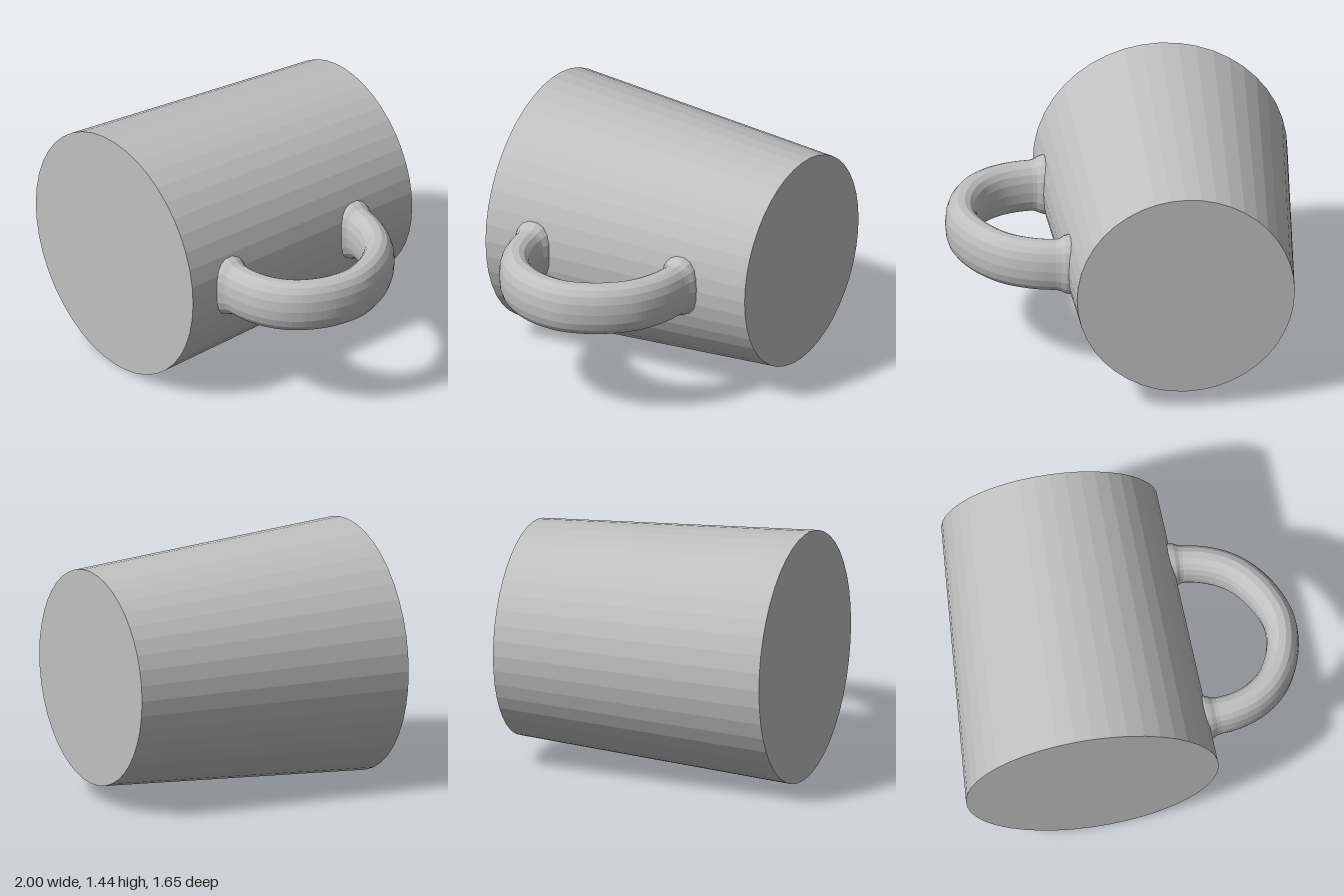
import * as THREE from 'three';

const AXIS_X = -0.28, AXIS_Y = 0.722;
const FRONT_R = 0.722, BACK_R = 0.617, HALF_LENGTH = 0.825;

// Radius of the tapered body at a given z
const bodyRadius = (z) => THREE.MathUtils.mapLinear(z, -HALF_LENGTH, HALF_LENGTH, BACK_R, FRONT_R);

// Sweep a flattened oval along the handle path, flaring where it meets the body
function handleGeometry() {
  const path = new THREE.CatmullRomCurve3([
    [0.3, -0.402], [0.42, -0.402], [0.56, -0.372], [0.7, -0.3], [0.82, -0.17],
    [0.894, -0.02], [0.91, 0.08], [0.887, 0.235], [0.81, 0.38], [0.7, 0.47],
    [0.58, 0.515], [0.46, 0.53], [0.34, 0.535],
  ].map(([x, z]) => new THREE.Vector3(x, 0.725, z)));
  const rings = 72, sides = 18, positions = [], index = [];
  const round = (v) => Math.sign(v) * Math.abs(v) ** 0.87;

  for (let i = 0; i <= rings; i++) {
    const p = path.getPointAt(i / rings), t = path.getTangentAt(i / rings);
    const gap = Math.max(0, p.x - (AXIS_X + bodyRadius(p.z)));
    const flare = 0.025 * Math.max(0, 1 - gap / 0.06) ** 2;
    for (let j = 0; j < sides; j++) {
      const a = (j / sides) * Math.PI * 2;
      const across = (0.092 + flare) * round(Math.cos(a));
      const up = (0.154 + flare) * round(Math.sin(a));
      positions.push(p.x + t.z * across, p.y + up, p.z - t.x * across);
      if (i < rings) {
        const k = i * sides + j, n = i * sides + ((j + 1) % sides);
        index.push(k, n, k + sides, n, n + sides, k + sides);
      }
    }
  }
  const geometry = new THREE.BufferGeometry();
  geometry.setAttribute('position', new THREE.Float32BufferAttribute(positions, 3));
  geometry.setIndex(index);
  geometry.computeVertexNormals();
  return geometry;
}

export function createModel() {
  const group = new THREE.Group();
  group.name = 'mug';
  const grey = new THREE.MeshStandardMaterial({ color: 0xc0c0c0, flatShading: true });
  grey.name = 'grey';

  // Solid tapered body lying along z, wide end to the front
  const body = new THREE.Mesh(
    new THREE.CylinderGeometry(FRONT_R, BACK_R, HALF_LENGTH * 2, 44).rotateX(Math.PI / 2), grey);
  body.position.set(AXIS_X, AXIS_Y, 0);
  body.name = 'body';

  // Curved handle on the +x side
  const handle = new THREE.Mesh(handleGeometry(), grey);
  handle.name = 'handle';

  group.add(body, handle);
  return group;
}
